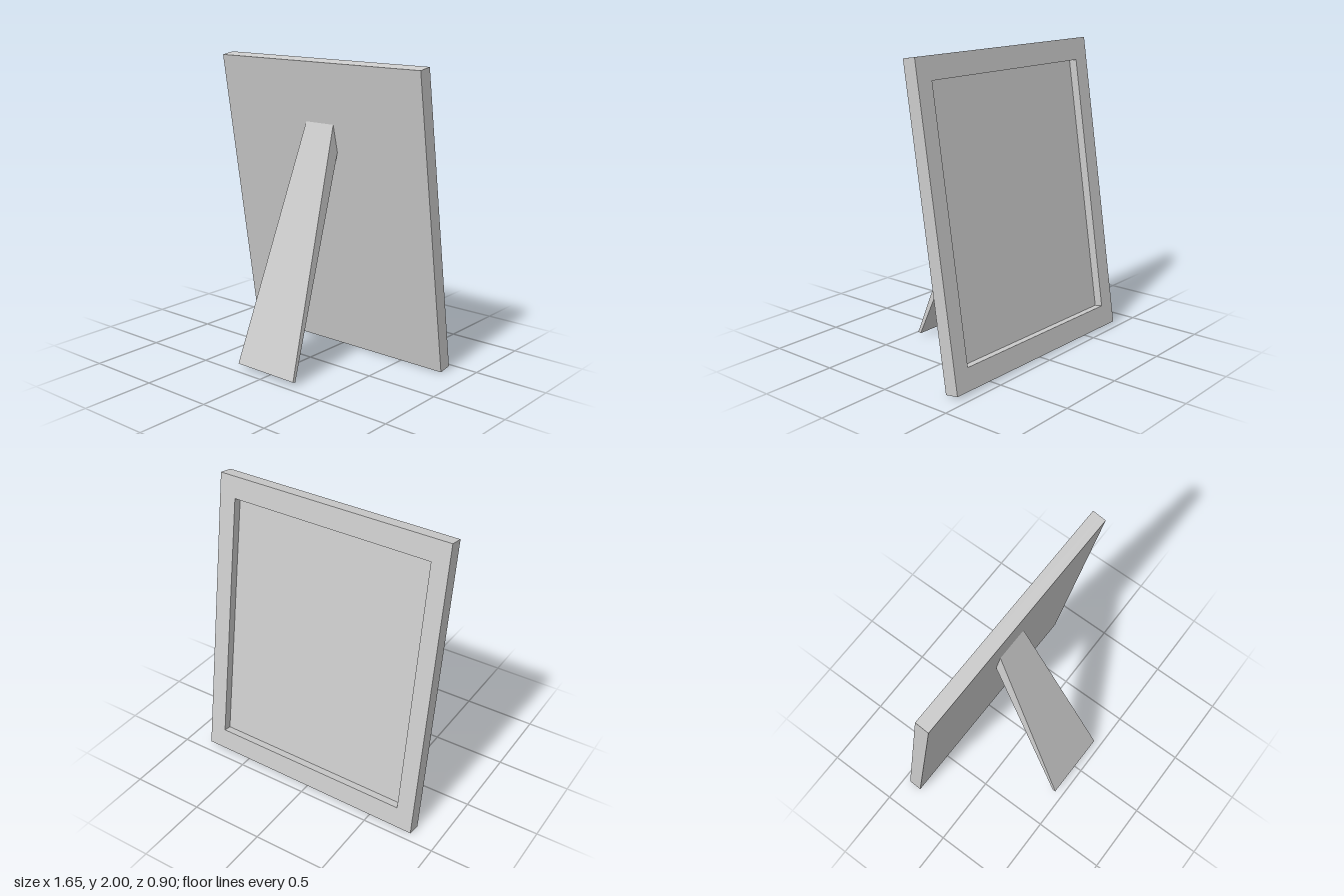
import * as THREE from 'three';

const W = 1.645, H = 2.01;          // outer frame
const BORDER_X = 0.118, BORDER_Y = 0.145;
const T = 0.094, RECESS = 0.055;    // total thickness, recess depth
const TILT = 0.1555;

const material = new THREE.MeshStandardMaterial({ color: 0xcccccc });

function rectangle(target, w, h) {
  target.moveTo(-w / 2, -h / 2);
  target.lineTo(w / 2, -h / 2);
  target.lineTo(w / 2, h / 2);
  target.lineTo(-w / 2, h / 2);
  target.closePath();
  return target;
}

function part(name, geometry) {
  const mesh = new THREE.Mesh(geometry, material);
  mesh.name = name;
  return mesh;
}

// Wedge leg: wide and thin at the foot, narrow and thick where it meets the board
function standGeometry() {
  const geo = new THREE.BoxGeometry(2, 2, 2);
  const p = geo.attributes.position;
  const corners = {
    footFront: { y: 0.025, z: 0.447, half: 0.241, cx: 0 },
    footBack: { y: 0.02, z: 0.425, half: 0.241, cx: 0 },
    topFront: { y: 1.59, z: -0.104, half: 0.114, cx: -0.01 },
    topBack: { y: 1.41, z: -0.134, half: 0.127, cx: -0.01 },
  };
  for (let i = 0; i < p.count; i++) {
    const c = corners[(p.getY(i) > 0 ? 'top' : 'foot') + (p.getZ(i) > 0 ? 'Front' : 'Back')];
    p.setXYZ(i, c.cx + Math.sign(p.getX(i)) * c.half, c.y, c.z);
  }
  geo.computeVertexNormals();
  return geo;
}

export function createModel() {
  const model = new THREE.Group();
  model.name = 'pictureFrame';

  // Leaning frame, its picture side towards -z
  const frame = new THREE.Group();
  frame.name = 'frame';
  frame.position.set(-0.002, 1, -0.242);
  frame.rotation.set(TILT, 0, 0.0025);

  const outline = rectangle(new THREE.Shape(), W, H);
  outline.holes.push(rectangle(new THREE.Path(), W - 2 * BORDER_X, H - 2 * BORDER_Y));
  const rim = part('rim', new THREE.ExtrudeGeometry(outline, { depth: RECESS, bevelEnabled: false }));
  rim.position.z = -T / 2;

  const board = part('backingBoard', new THREE.BoxGeometry(W, H, T - RECESS));
  board.position.z = RECESS / 2;
  frame.add(rim, board);

  // Stand propping the frame up
  model.add(frame, part('stand', standGeometry()));

  // Slight turn of the whole piece
  const root = new THREE.Group();
  model.rotation.y = -0.0085;
  root.add(model);
  return root;
}
